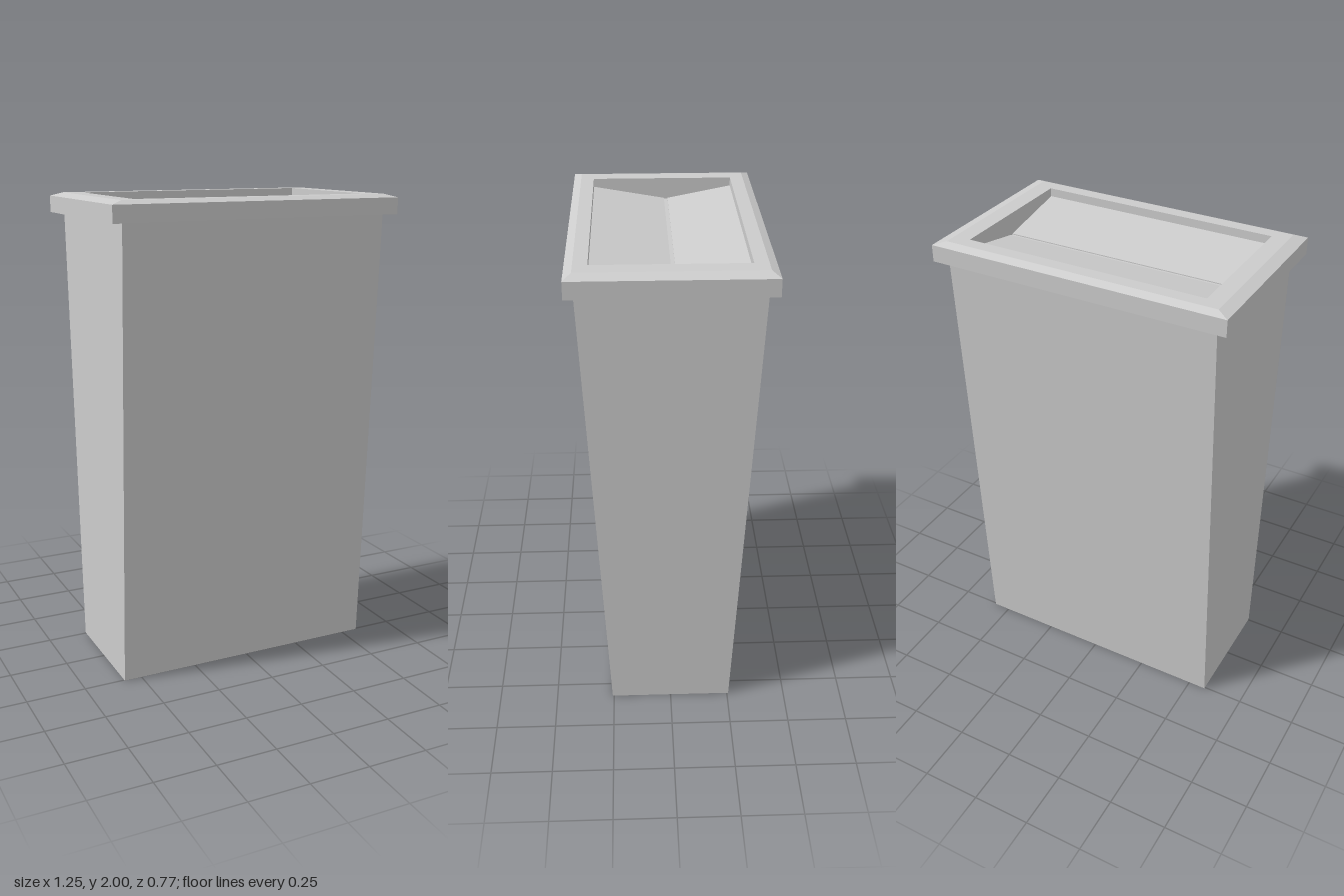
import * as THREE from 'three';

const material = new THREE.MeshStandardMaterial({ color: 0xcccccc, flatShading: true });

function part(name, geometry) {
  const mesh = new THREE.Mesh(geometry, material);
  mesh.name = name;
  return mesh;
}

// Skin a stack of rectangles, each given as [half width, half depth, height]
function rectLoft(rings) {
  const corners = [[-1, 1], [1, 1], [1, -1], [-1, -1]];
  const point = ([hx, hz, y], i) => [corners[i % 4][0] * hx, y, corners[i % 4][1] * hz];
  const positions = [];
  for (let r = 0; r < rings.length - 1; r++) {
    for (let i = 0; i < 4; i++) {
      const a = point(rings[r], i), b = point(rings[r], i + 1);
      const c = point(rings[r + 1], i + 1), d = point(rings[r + 1], i);
      positions.push(...a, ...b, ...c, ...a, ...c, ...d);
    }
  }
  const geometry = new THREE.BufferGeometry();
  geometry.setAttribute('position', new THREE.Float32BufferAttribute(positions, 3));
  geometry.computeVertexNormals();
  return geometry;
}

// Extrude a [z, y] side profile across the width of the lid opening
function crossBar(profile, width) {
  const shape = new THREE.Shape(profile.map(([z, y]) => new THREE.Vector2(z, y)));
  const geometry = new THREE.ExtrudeGeometry(shape, { depth: width, bevelEnabled: false });
  return geometry.translate(0, 0, -width / 2).rotateY(-Math.PI / 2);
}

export function createModel() {
  const bin = new THREE.Group();
  bin.name = 'wasteBin';

  // Tapered body with a flat base
  bin.add(part('body', rectLoft([[0.576, 0.256, 0], [0.576, 0.35, 1.917]])));
  bin.add(part('base', new THREE.PlaneGeometry(1.152, 0.512).rotateX(Math.PI / 2)));

  // Lid frame: underside, outer wall, bevel, flat top, opening walls
  const openX = 0.507, openZ = 0.297;
  bin.add(part('lidFrame', rectLoft([
    [openX, openZ, 1.917],
    [0.626, 0.384, 1.917],
    [0.626, 0.384, 1.986],
    [0.577, 0.352, 2],
    [openX, openZ, 2],
    [openX, openZ, 1.89],
  ])));

  // Two flaps sloping down to a narrow channel near the middle
  const flapTop = 1.965, flapLow = 1.912, thickness = 0.015;
  for (const [name, outer, inner] of [['frontFlap', openZ, -0.008], ['backFlap', -openZ, -0.024]]) {
    bin.add(part(name, crossBar([
      [outer, flapTop], [inner, flapLow],
      [inner, flapLow - thickness], [outer, flapTop - thickness],
    ], openX * 2)));
  }
  const channel = part('flapChannel', new THREE.BoxGeometry(openX * 2, 0.008, 0.016));
  channel.position.set(0, 1.904, -0.016);
  bin.add(channel);

  return bin;
}
